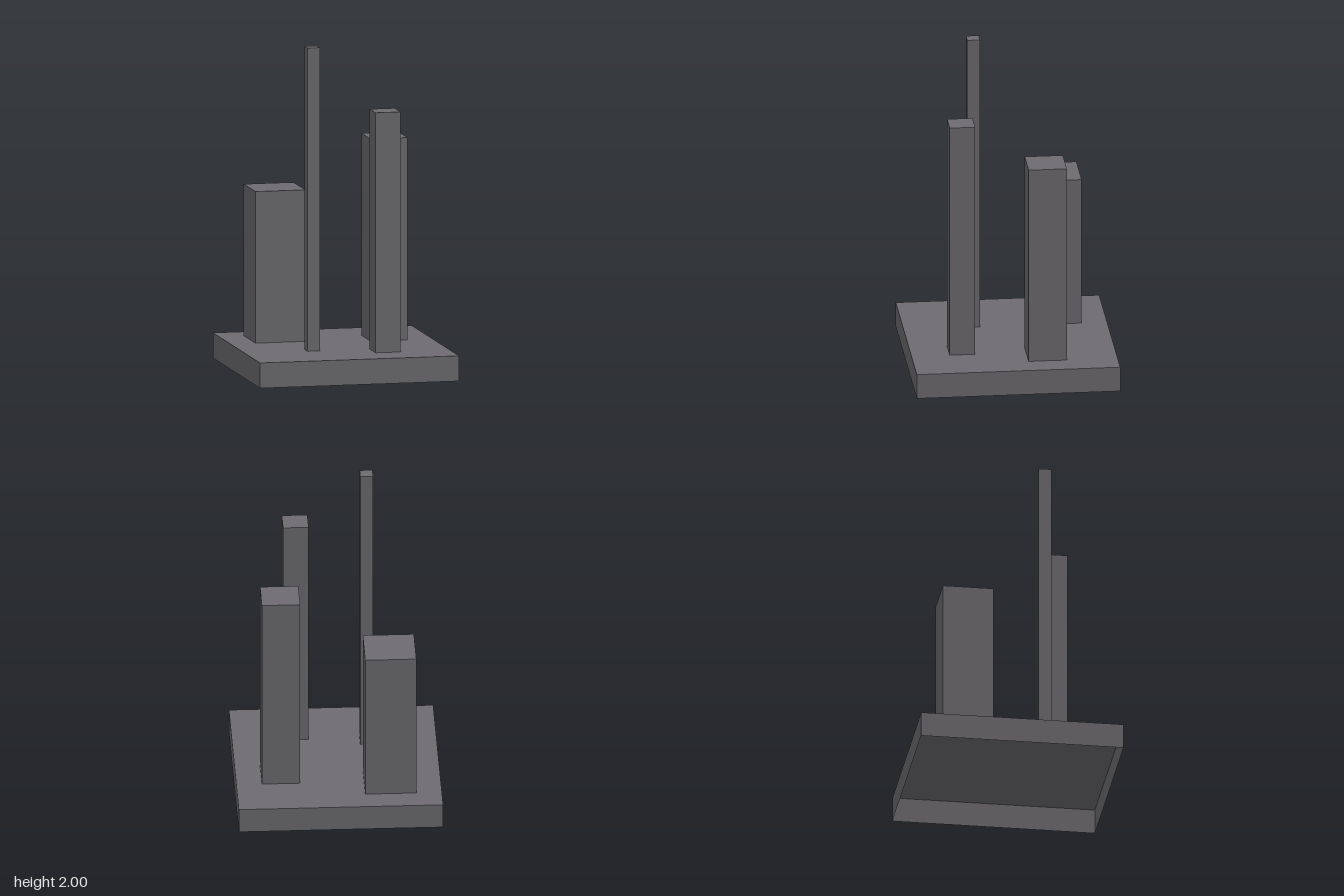
import * as THREE from 'three';

// The whole model sits on a grid of 26 units to its height.
const U = 2 / 26;

const grey = new THREE.MeshStandardMaterial({ color: 0x6e6c70, side: THREE.DoubleSide });
grey.name = 'warm grey';

// Thin-walled block, open underneath, spanning grid coordinates.
function openBlock(name, x0, x1, y0, y1, z0, z1) {
  const geometry = new THREE.BoxGeometry((x1 - x0) * U, (y1 - y0) * U, (z1 - z0) * U);
  const index = Array.from(geometry.index.array);
  index.splice(18, 6); // drop the bottom face
  geometry.setIndex(index);
  geometry.clearGroups();
  const mesh = new THREE.Mesh(geometry, grey);
  mesh.name = name;
  mesh.position.set((x0 + x1) * U / 2, (y0 + y1) * U / 2, (z0 + z1) * U / 2);
  return mesh;
}

export function createModel() {
  const group = new THREE.Group();
  group.name = 'towersOnBase';

  // Square base, hollow below
  group.add(openBlock('base', -8, 8, 0, 2, -8, 8));

  // Four square towers: name, low x, low z, width, top height
  const towers = [
    ['wideTower', -6, -6, 4, 14],
    ['mediumTower', 3, -4, 3, 18],
    ['narrowTower', 2, 3, 2, 21],
    ['slenderTower', -3, 2, 1, 26],
  ];
  for (const [name, x, z, width, top] of towers) {
    group.add(openBlock(name, x, x + width, 2, top, z, z + width));
  }
  return group;
}
